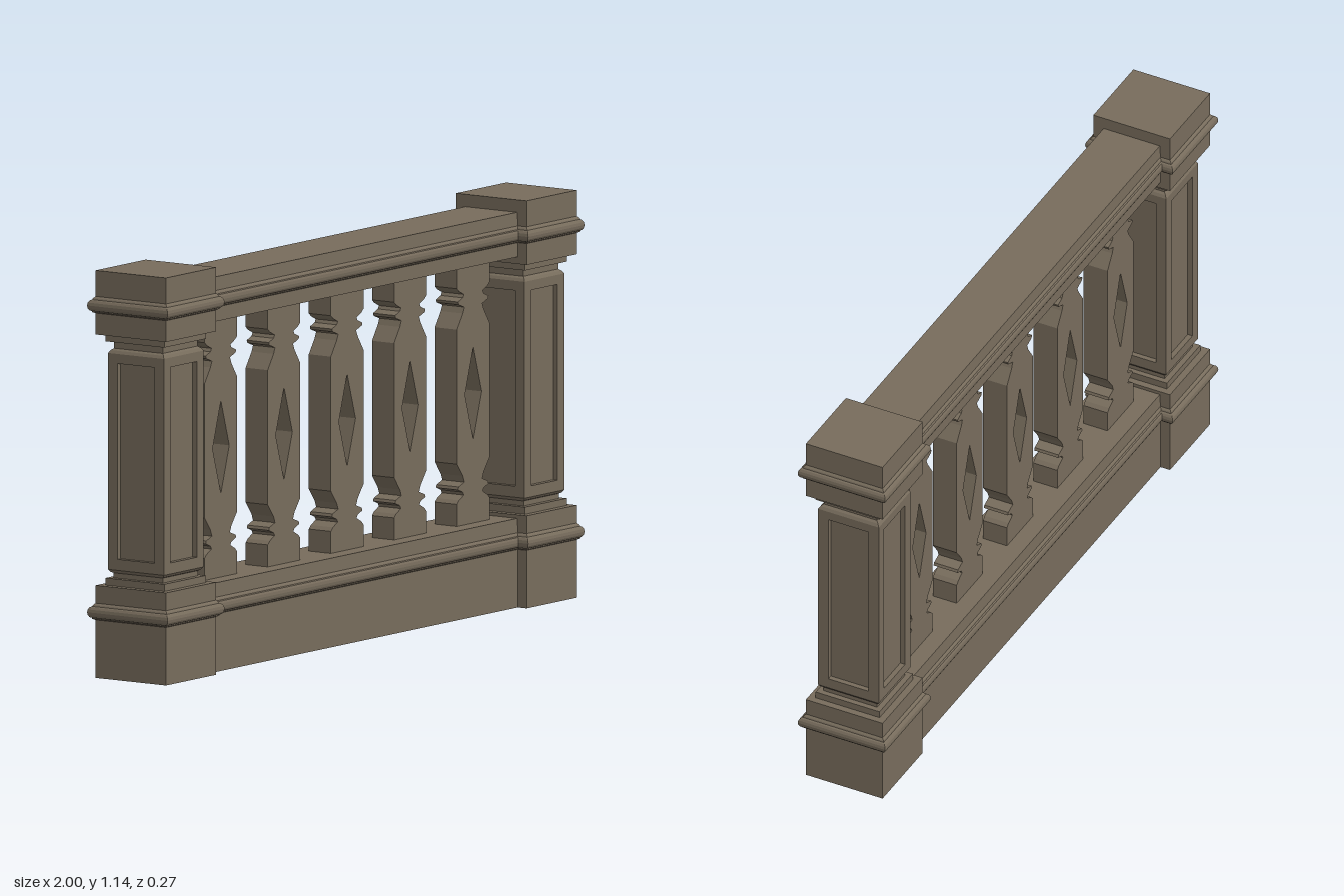
import * as THREE from 'three';

const stone = new THREE.MeshStandardMaterial({ color: 0x776c5c });
stone.name = 'stone';

const POST_X = 0.863;

// Rounded moulding: half-round band standing out from a face at half-width w
function moulding(w, out, y) {
  const pts = [[w, y - 0.022], [w + out * 0.4, y - 0.019]];
  for (let i = 0; i <= 6; i++) {
    const a = -Math.PI / 2 + (Math.PI * i) / 6;
    pts.push([w + out * (0.4 + 0.6 * Math.cos(a)), y + 0.016 * Math.sin(a)]);
  }
  pts.push([w + out * 0.3, y + 0.02], [w, y + 0.025]);
  return pts;
}

// Square solid from a [half-width, height] profile
function squareTurned(profile) {
  const pts = profile.map(([w, y]) => new THREE.Vector2(w * Math.SQRT2, y));
  const geo = new THREE.LatheGeometry(pts, 4, Math.PI / 4).toNonIndexed();
  geo.computeVertexNormals();
  return geo;
}

function add(parent, name, geo) {
  const mesh = new THREE.Mesh(geo, stone);
  mesh.name = name;
  parent.add(mesh);
  return mesh;
}

function polygon(points, Type = THREE.Shape) {
  return new Type(points.map(([x, y]) => new THREE.Vector2(x, y)));
}

function makePost() {
  const post = new THREE.Group();
  add(post, 'postBase', squareTurned([
    [0, 0], [0.12, 0], ...moulding(0.12, 0.017, 0.185), [0.12, 0.26],
    [0.1, 0.26], [0.1, 0.28], [0.084, 0.28], [0.084, 0.294], [0.09, 0.297],
    [0.095, 0.304], [0.095, 0.31], [0, 0.31],
  ]));
  add(post, 'postCapital', squareTurned([
    [0, 0.908], [0.095, 0.908], [0.095, 0.912], [0.09, 0.92], [0.083, 0.925],
    [0.083, 0.945], [0.1, 0.945], [0.1, 0.965], [0.12, 0.965],
    ...moulding(0.12, 0.017, 1.047), [0.12, 1.145], [0, 1.145],
  ]));

  // Shaft core with a raised frame around a sunken panel on each face
  const core = add(post, 'shaftCore', new THREE.BoxGeometry(0.16, 0.6, 0.16));
  core.position.y = 0.609;
  const frame = polygon([[-0.095, 0.31], [0.095, 0.31], [0.095, 0.908], [-0.095, 0.908]]);
  frame.holes.push(polygon([[-0.063, 0.335], [-0.063, 0.885], [0.063, 0.885], [0.063, 0.335]], THREE.Path));
  const frameGeo = new THREE.ExtrudeGeometry(frame, { depth: 0.015, bevelEnabled: false });
  frameGeo.translate(0, 0, 0.08);
  for (let i = 0; i < 4; i++) add(post, 'panelFrame', frameGeo).rotation.y = (i * Math.PI) / 2;
  return post;
}

// Moulded rail running along x
function railGeometry(y0, y1, mouldY) {
  const side = [[0.09, y0], ...moulding(0.09, 0.014, mouldY), [0.088, y1]];
  const outline = [...side, ...side.map(([x, y]) => [-x, y]).reverse()];
  const length = 1.5;
  const geo = new THREE.ExtrudeGeometry(polygon(outline), { depth: length, bevelEnabled: false });
  geo.translate(0, 0, -length / 2);
  geo.rotateY(Math.PI / 2);
  return geo;
}

// Flat sawn baluster with notched edges and a diamond opening
function balusterGeometry() {
  const side = [
    [0.078, 0.245], [0.078, 0.312], [0.068, 0.322], [0.045, 0.334], [0.05, 0.343],
    [0.073, 0.352], [0.07, 0.36], [0.043, 0.37], [0.05, 0.388], [0.078, 0.425],
    [0.078, 0.803], [0.05, 0.845], [0.043, 0.862], [0.07, 0.872], [0.073, 0.88],
    [0.05, 0.889], [0.045, 0.898], [0.068, 0.909], [0.078, 0.918], [0.078, 0.99],
  ];
  const shape = polygon([...side, ...side.map(([x, y]) => [-x, y]).reverse()]);
  shape.holes.push(polygon([[0, 0.485], [-0.04, 0.615], [0, 0.745], [0.04, 0.615]], THREE.Path));
  const geo = new THREE.ExtrudeGeometry(shape, { depth: 0.075, bevelEnabled: false });
  geo.translate(0, 0, -0.0375);
  return geo;
}

export function createModel() {
  const model = new THREE.Group();
  model.name = 'balustrade';

  for (const s of [-1, 1]) {
    const post = makePost();
    post.name = s > 0 ? 'leftPost' : 'rightPost';
    post.position.x = s * POST_X;
    model.add(post);
  }

  add(model, 'bottomRail', railGeometry(0, 0.25, 0.185));
  add(model, 'topRail', railGeometry(0.985, 1.11, 1.047));

  const baluster = balusterGeometry();
  for (let i = -2; i <= 2; i++) add(model, 'baluster', baluster).position.x = i * 0.302;

  return model;
}
